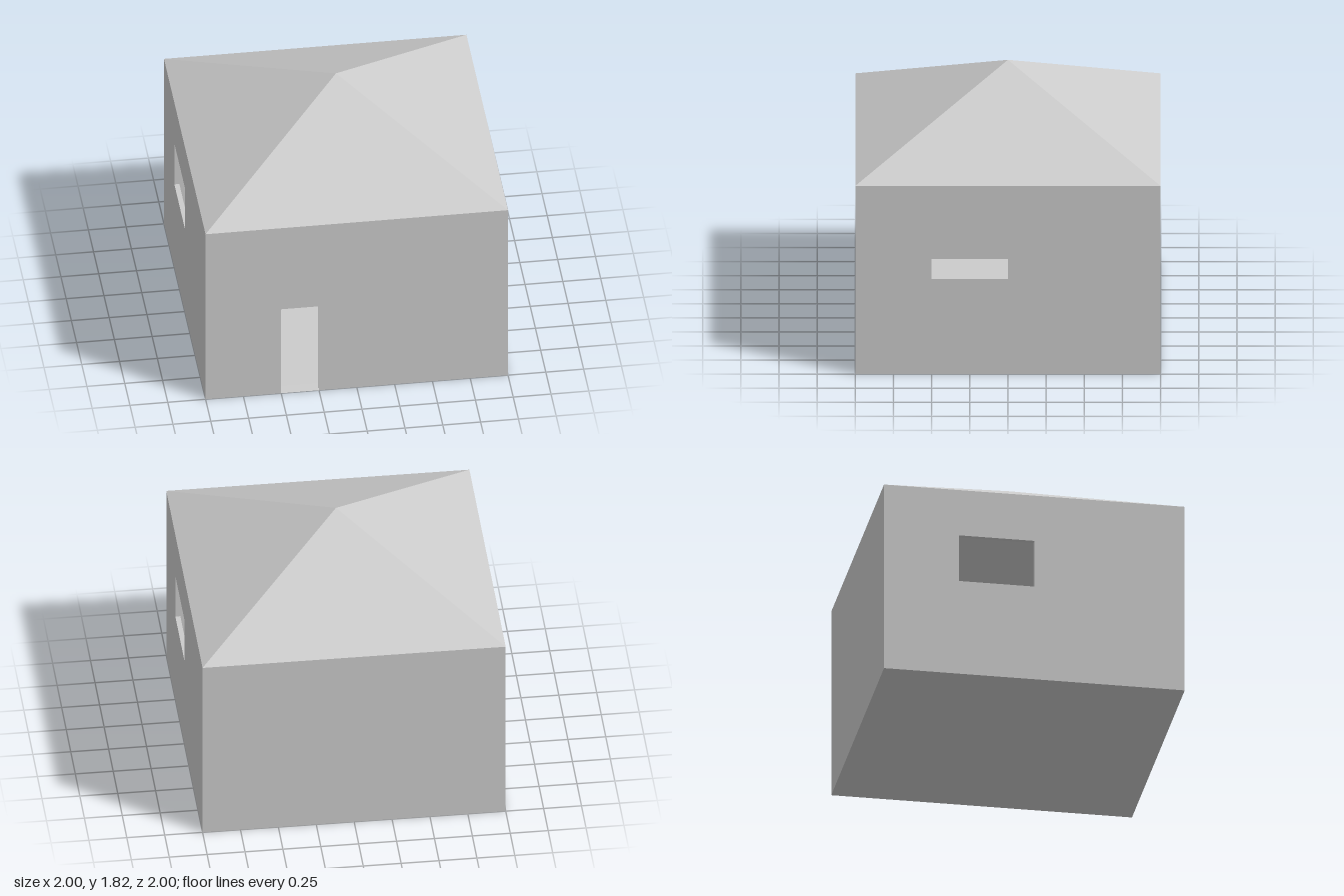
import * as THREE from 'three';

const T = 0.033;            // shell thickness
const EAVE = 1.327, APEX = 1.819;
const PITCH = APEX - EAVE;  // roof rise per unit run
const ROOF_DROP = T * Math.hypot(1, PITCH);
const INNER_EAVE = EAVE + PITCH * T - ROOF_DROP;

const material = new THREE.MeshStandardMaterial({ color: 0xcccccc, flatShading: true });

function addMesh(parent, name, geometry) {
  const mesh = new THREE.Mesh(geometry, material);
  mesh.name = name;
  parent.add(mesh);
  return mesh;
}

// Turn a surface to face the other way
function flip(geometry) {
  const index = geometry.index.array;
  for (let i = 0; i < index.length; i += 3) [index[i], index[i + 1]] = [index[i + 1], index[i]];
  geometry.computeVertexNormals();
  return geometry;
}

// Matching point on the inside of a wall, mitred at corners, floor and eave
function inset(x, y) {
  return [
    Math.abs(x) > 0.999 ? Math.sign(x) * (1 - T) : x,
    y < 0.001 ? T : y > EAVE - 0.001 ? INNER_EAVE : y,
    1 - T,
  ];
}

// Wall facing +z, with an optional opening { x0, x1, y0, y1 }
function makeWall(name, opening) {
  const wall = new THREE.Group();
  wall.name = name;
  const outline = [[-1, 0], [1, 0], [1, EAVE], [-1, EAVE]];
  let ring = null;
  if (opening) {
    const { x0, x1, y0, y1 } = opening;
    ring = [[x0, y0], [x1, y0], [x1, y1], [x0, y1]];
    // An opening that reaches the ground becomes a notch in the outline
    if (y0 === 0) outline.splice(1, 0, ring[0], ring[3], ring[2], ring[1]);
  }
  const shape = new THREE.Shape(outline.map(p => new THREE.Vector2(...p)));
  if (ring && opening.y0 > 0) shape.holes.push(new THREE.Path(ring.map(p => new THREE.Vector2(...p))));

  const outer = new THREE.ShapeGeometry(shape);
  const inner = outer.clone();
  const pos = inner.attributes.position;
  for (let i = 0; i < pos.count; i++) pos.setXYZ(i, ...inset(pos.getX(i), pos.getY(i)));
  addMesh(wall, 'outerFace', outer.translate(0, 0, 1));
  addMesh(wall, 'innerFace', flip(inner));

  // Jambs, lintel and sill around the opening
  if (ring) {
    const points = [];
    ring.forEach((p, i) => {
      const q = ring[(i + 1) % 4];
      const a = [...p, 1], b = [...q, 1], c = inset(...q), d = inset(...p);
      points.push(...a, ...b, ...c, ...a, ...c, ...d);
    });
    const reveal = new THREE.BufferGeometry();
    reveal.setAttribute('position', new THREE.Float32BufferAttribute(points, 3));
    reveal.computeVertexNormals();
    addMesh(wall, 'openingReveal', reveal);
  }
  return wall;
}

// Open four-sided pyramid with its sides square to the axes
function pyramid(halfWidth, base, apex) {
  return new THREE.ConeGeometry(halfWidth * Math.SQRT2, apex - base, 4, 1, true)
    .rotateY(Math.PI / 4)
    .translate(0, (apex + base) / 2, 0);
}

export function createModel() {
  const house = new THREE.Group();
  house.name = 'house';

  // Walls: door in front, one window on each side
  const door = { x0: -0.5, x1: -0.25, y0: 0, y1: 0.675 };
  const sideWindow = { x0: -0.5, x1: 0, y0: 0.67, y1: 1.0 };
  const walls = [
    ['frontWall', door],
    ['rightWall', sideWindow],
    ['backWall', null],
    ['leftWall', sideWindow],
  ];
  walls.forEach(([name, opening], i) => {
    const wall = makeWall(name, opening);
    wall.rotation.y = i * Math.PI / 2;
    house.add(wall);
  });

  // Floor and underside
  addMesh(house, 'floor', new THREE.PlaneGeometry(2 - 2 * T, 2 - 2 * T).rotateX(-Math.PI / 2).translate(0, T, 0));
  addMesh(house, 'underside', new THREE.PlaneGeometry(2, 2).rotateX(Math.PI / 2));

  // Hipped roof and the sloping ceiling beneath it
  addMesh(house, 'roof', pyramid(1, EAVE, APEX));
  addMesh(house, 'ceiling', flip(pyramid(1 - T, INNER_EAVE, APEX - ROOF_DROP)));

  return house;
}
